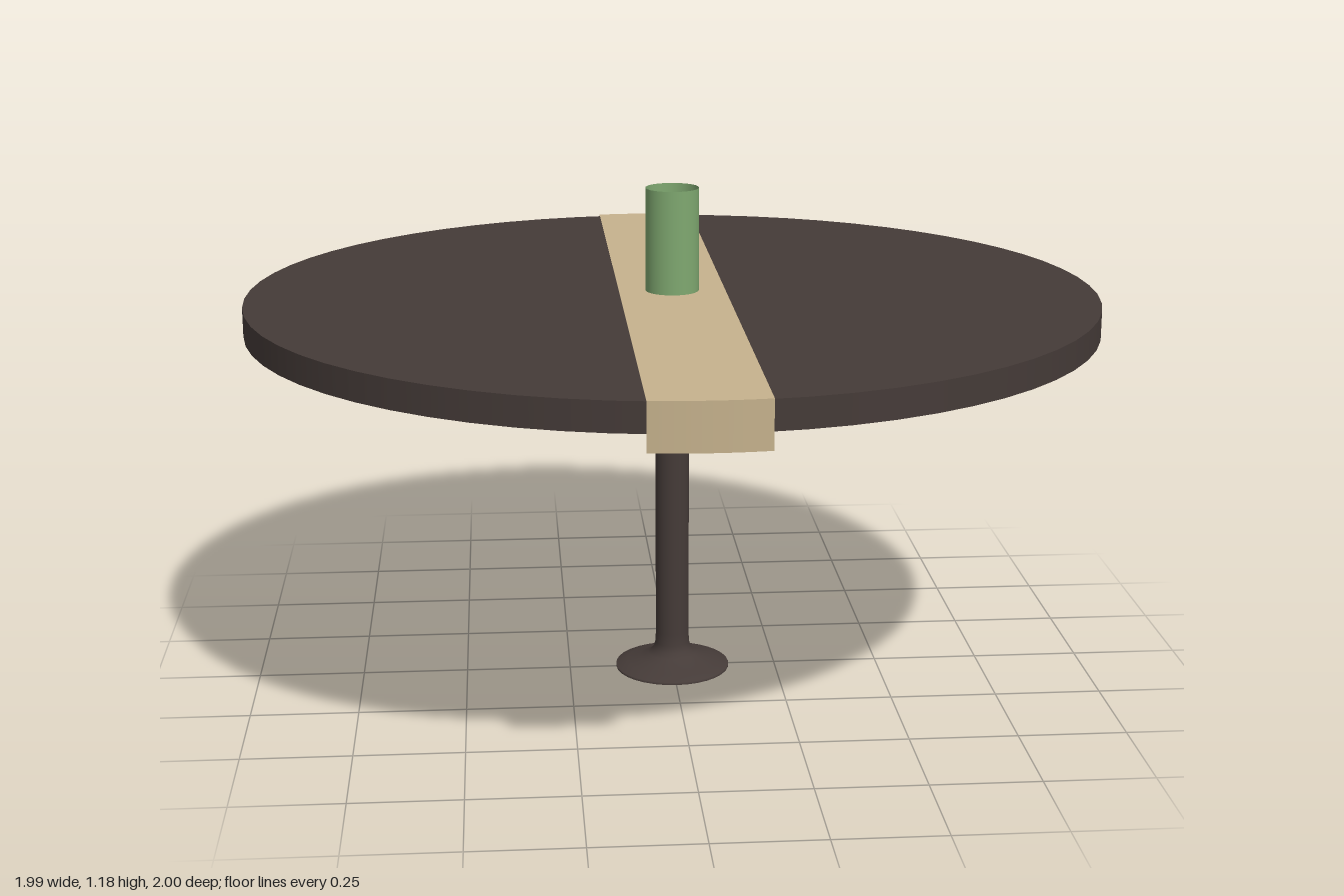
import * as THREE from 'three';

const SEG = 64;
const TABLE_R = 0.993, TABLE_TOP = 0.933, TABLE_BOTTOM = 0.867;
const RUNNER_R = 1.0, RUNNER_HALF = 0.125, RUNNER_TOP = 0.936, RUNNER_BOTTOM = 0.83;

const wood = new THREE.MeshStandardMaterial({ color: 0x453b38, side: THREE.DoubleSide });
const cloth = new THREE.MeshStandardMaterial({ color: 0xc6b28d, side: THREE.DoubleSide });
const glaze = new THREE.MeshStandardMaterial({ color: 0x7fa870, side: THREE.DoubleSide });

function add(parent, name, geometry, material, y = 0) {
  const mesh = new THREE.Mesh(geometry, material);
  mesh.name = name;
  mesh.position.y = y;
  parent.add(mesh);
  return mesh;
}

export function createModel() {
  const model = new THREE.Group();
  model.name = 'roundTable';

  // Round table top
  add(model, 'tableTop',
    new THREE.CylinderGeometry(TABLE_R, TABLE_R, TABLE_TOP - TABLE_BOTTOM, SEG),
    wood, (TABLE_TOP + TABLE_BOTTOM) / 2);

  // Stem flaring into a foot that is open underneath
  const profile = [
    [0.137, 0], [0.137, 0.006], [0.11, 0.014], [0.08, 0.024], [0.058, 0.034],
    [0.046, 0.046], [0.041, 0.062], [0.04, 0.09], [0.04, TABLE_BOTTOM],
  ].map(([r, y]) => new THREE.Vector2(r, y));
  add(model, 'pedestal', new THREE.LatheGeometry(profile, 32), wood);

  // Cloth runner: flat strip with arc ends, plus a curved flap at each end
  const runner = new THREE.Group();
  runner.name = 'runner';
  model.add(runner);
  const half = Math.asin(RUNNER_HALF / RUNNER_R);
  const strip = new THREE.Shape();
  strip.absarc(0, 0, RUNNER_R, Math.PI / 2 - half, Math.PI / 2 + half);
  strip.absarc(0, 0, RUNNER_R, -Math.PI / 2 - half, -Math.PI / 2 + half);
  strip.closePath();
  add(runner, 'runnerStrip',
    new THREE.ShapeGeometry(strip, 8).rotateX(-Math.PI / 2), cloth, RUNNER_TOP);
  for (const [name, centre] of [['frontFlap', 0], ['backFlap', Math.PI]]) {
    add(runner, name,
      new THREE.CylinderGeometry(RUNNER_R, RUNNER_R, RUNNER_TOP - RUNNER_BOTTOM,
        8, 1, true, centre - half, 2 * half),
      cloth, (RUNNER_TOP + RUNNER_BOTTOM) / 2);
  }

  // Thin-walled vase, open at the top
  const vase = new THREE.Group();
  vase.name = 'vase';
  model.add(vase);
  const vaseBase = RUNNER_TOP + 0.002, vaseTop = 1.18, vaseR = 0.0625;
  add(vase, 'vaseWall',
    new THREE.CylinderGeometry(vaseR, vaseR, vaseTop - vaseBase, 32, 1, true),
    glaze, (vaseTop + vaseBase) / 2);
  add(vase, 'vaseFloor',
    new THREE.CircleGeometry(vaseR, 32).rotateX(-Math.PI / 2), glaze, vaseBase);

  return model;
}
